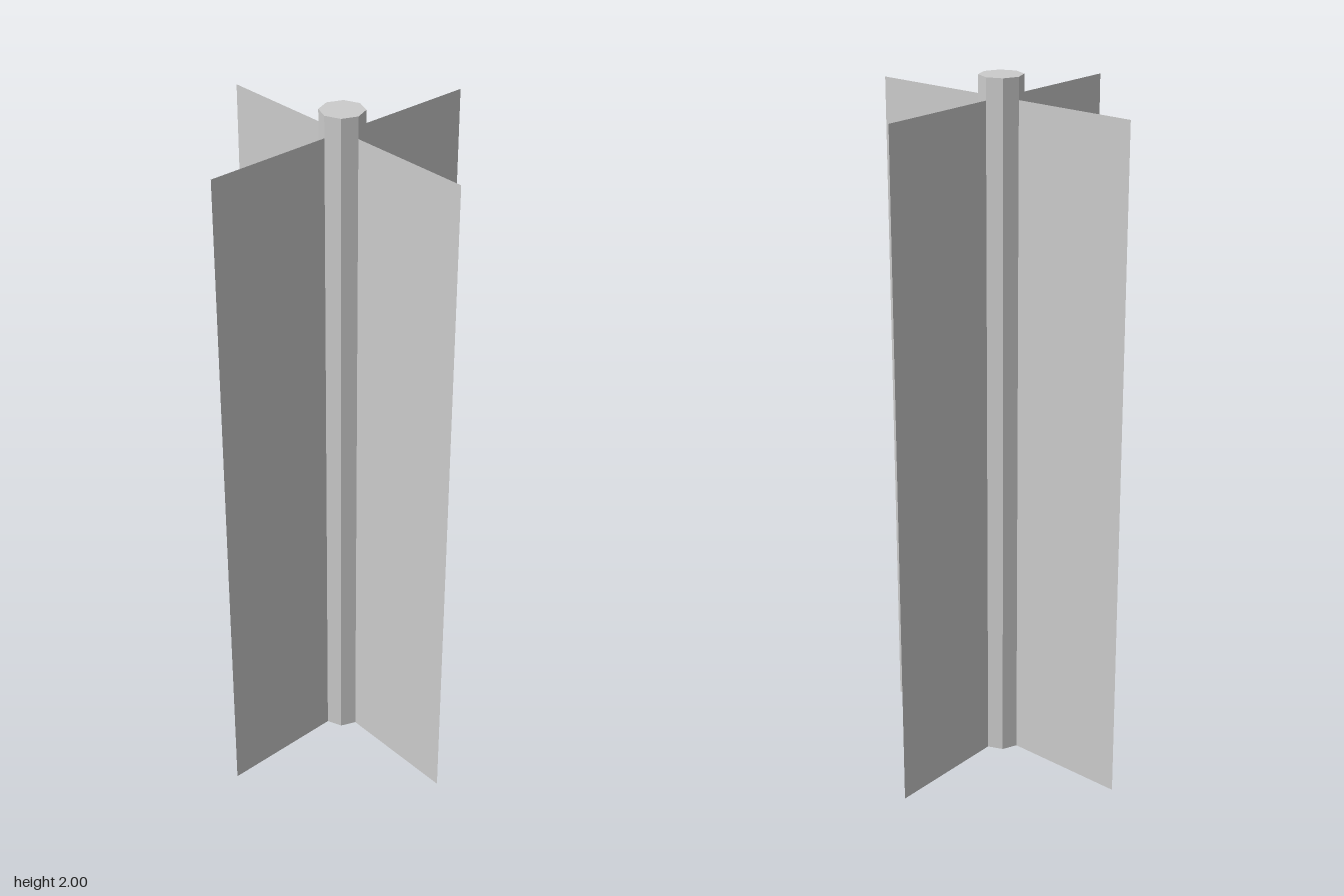
import * as THREE from 'three';

const POLE_RADIUS = 0.06, POLE_HEIGHT = 2;
const BLADE_WIDTH = 0.84, BLADE_HEIGHT = 1.94;

export function createModel() {
  const model = new THREE.Group();
  model.name = 'crossBladedPole';

  // Octagonal central pole, corners on the x and z axes
  const pole = new THREE.Mesh(
    new THREE.CylinderGeometry(POLE_RADIUS, POLE_RADIUS, POLE_HEIGHT, 8),
    new THREE.MeshStandardMaterial({ color: 0xcccccc, flatShading: true })
  );
  pole.name = 'pole';
  pole.position.y = POLE_HEIGHT / 2;
  model.add(pole);

  // Two thin sheets crossing at right angles through the pole
  const bladeGeometry = new THREE.PlaneGeometry(BLADE_WIDTH, BLADE_HEIGHT);
  const bladeMaterial = new THREE.MeshStandardMaterial({ color: 0xcccccc, side: THREE.DoubleSide });
  ['sidewaysBlade', 'lengthwiseBlade'].forEach((name, i) => {
    const blade = new THREE.Mesh(bladeGeometry, bladeMaterial);
    blade.name = name;
    blade.position.y = BLADE_HEIGHT / 2;
    blade.rotation.y = i * Math.PI / 2;
    model.add(blade);
  });

  return model;
}
